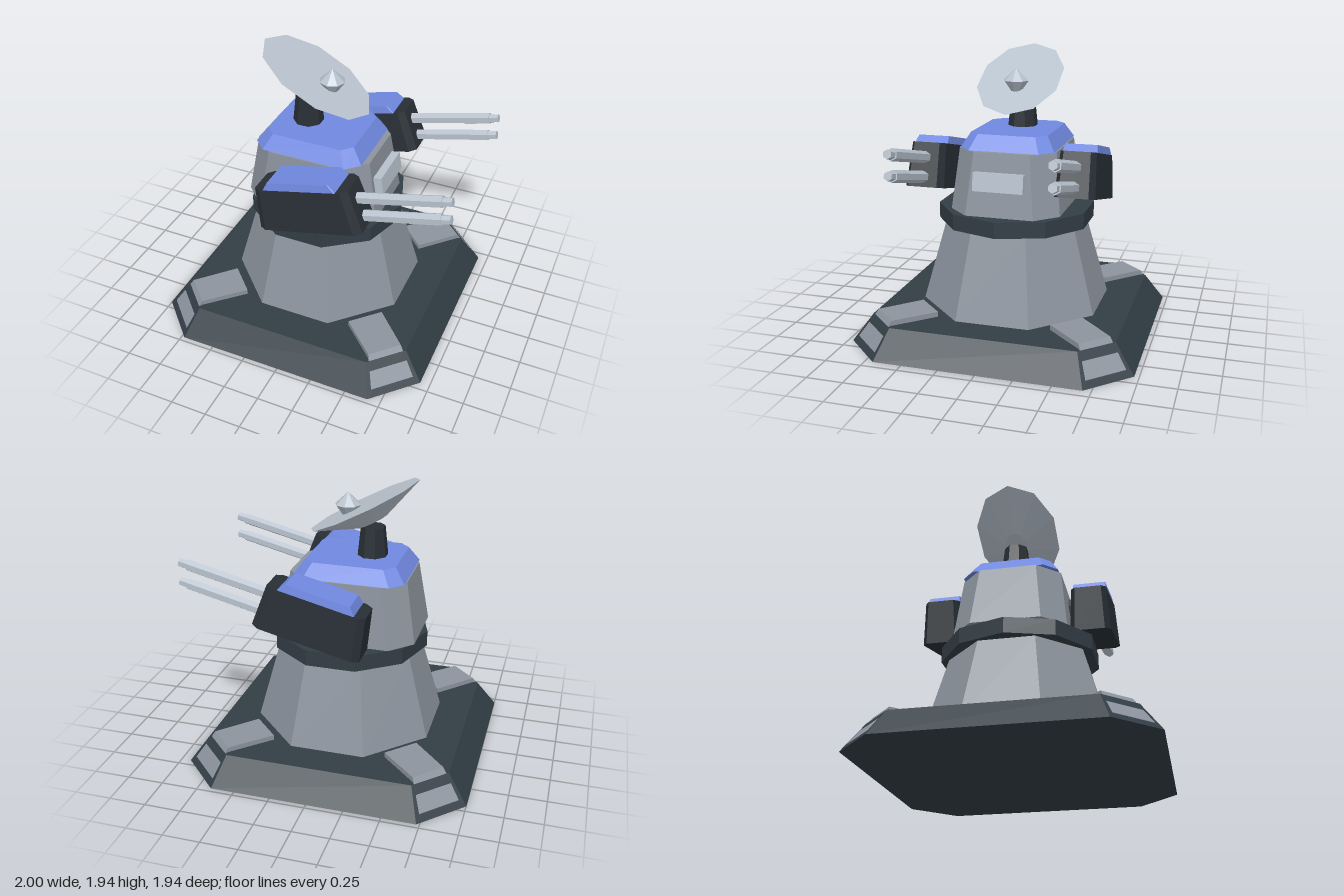
import * as THREE from 'three';

const mat = (name, color) => Object.assign(new THREE.MeshStandardMaterial({ color }), { name });

// Solid skinned over matching loops, with flat faces and closed ends
function loft(loops) {
  const pos = [];
  const tri = (a, b, c) => pos.push(...a, ...b, ...c);
  const n = loops[0].length;
  for (let k = 0; k < loops.length - 1; k++) {
    const a = loops[k], b = loops[k + 1];
    for (let i = 0; i < n; i++) {
      const j = (i + 1) % n;
      tri(a[i], a[j], b[j]);
      tri(a[i], b[j], b[i]);
    }
  }
  const first = loops[0], last = loops[loops.length - 1];
  for (let i = 1; i < n - 1; i++) {
    tri(first[0], first[i + 1], first[i]);
    tri(last[0], last[i], last[i + 1]);
  }
  const g = new THREE.BufferGeometry();
  g.setAttribute('position', new THREE.Float32BufferAttribute(pos, 3));
  g.computeVertexNormals();
  return g;
}

// Rectangle with cut corners at height y
function cutRect(y, hx, hz, cx, cz = cx) {
  return [
    [hx, hz - cz], [hx, cz - hz], [hx - cx, -hz], [cx - hx, -hz],
    [-hx, cz - hz], [-hx, hz - cz], [cx - hx, hz], [hx - cx, hz],
  ].map(([x, z]) => [x, y, z]);
}

// Faceted cylinder with flat normals
function facet(rTop, rBottom, height, sides, turn = 0) {
  const g = new THREE.CylinderGeometry(rTop, rBottom, height, sides).toNonIndexed();
  g.rotateY(turn);
  g.computeVertexNormals();
  return g;
}

export function createModel() {
  const model = new THREE.Group();
  model.name = 'gunTurret';
  const baseDark = mat('dark slate', 0x323d45);
  const gunDark = mat('gunmetal', 0x282f35);
  const grey = mat('armour grey', 0x8c939d);
  const light = mat('light steel', 0xb8c2cd);
  const blue = mat('armour blue', 0x7088e0);

  const add = (name, geometry, material, x = 0, y = 0, z = 0, parent = model) => {
    const m = new THREE.Mesh(geometry, material);
    m.name = name;
    m.position.set(x, y, z);
    parent.add(m);
    return m;
  };
  const cx = -0.034;

  // Foundation slab and corner pads
  add('foundation', loft([cutRect(0, 0.968, 0.968, 0.273), cutRect(0.19, 0.835, 0.835, 0.205)]), baseDark, cx);
  const padSection = (r, top, w) => [[r, 0.005, w], [r, 0.005, -w], [r, top, -w], [r, top, w]];
  const padGeo = loft([padSection(0.677, 0.225, 0.125), padSection(1.008, 0.225, 0.118), padSection(1.145, 0.045, 0.152)]);
  for (let i = 0; i < 4; i++) {
    add('cornerPad', padGeo, grey, cx).rotation.y = Math.PI / 4 + i * Math.PI / 2;
  }

  // Pedestal and turning ring
  add('pedestal', facet(0.493, 0.66, 0.58, 8, Math.PI / 8), grey, cx, 0.48);
  add('turningRing', facet(0.542, 0.542, 0.11, 10, Math.PI / 2), baseDark, cx, 0.825);

  // Turret body, roof and front plate
  add('turretBody', loft([cutRect(0.88, 0.47, 0.38, 0.147), cutRect(1.3, 0.402, 0.337, 0.145)]), grey, -0.064);
  add('turretRoof', loft([cutRect(1.3, 0.378, 0.326, 0.085), cutRect(1.4, 0.308, 0.267, 0.068)]), blue, -0.08);
  add('frontPlate', new THREE.BoxGeometry(0.07, 0.125, 0.345), light, 0.39, 1.117).rotation.z = 0.15;

  // Twin gun pods, tilted upward
  const housing = loft([cutRect(0.929, 0.37, 0.135, 0.05, 0.035), cutRect(1.228, 0.333, 0.118, 0.045, 0.03)]);
  const cap = loft([cutRect(1.226, 0.26, 0.117, 0.005), cutRect(1.279, 0.218, 0.108, 0.005)]);
  for (const side of [1, -1]) {
    const gun = new THREE.Group();
    gun.name = side > 0 ? 'leftGun' : 'rightGun';
    gun.position.z = side * 0.51;
    gun.rotation.z = 0.242;
    model.add(gun);
    add('gunHousing', housing, gunDark, 0.335, 0, 0, gun);
    add('gunCap', cap, blue, 0.331, 0, 0, gun);
    add('gunTrunnion', facet(0.115, 0.115, 0.22, 8, Math.PI / 8).rotateX(Math.PI / 2), gunDark, 0.27, 1.1, -side * 0.18, gun);
    for (const [v, end] of [[1.127, 1.3], [0.996, 1.27]]) {
      // Hexagonal barrel with a narrower muzzle
      const start = 0.6, neck = end - 0.06;
      const barrel = facet(0.04, 0.04, neck - start, 6, Math.PI / 2).rotateZ(-Math.PI / 2);
      add('barrel', barrel, light, (start + neck) / 2, v, 0, gun);
      const muzzle = facet(0.03, 0.032, 0.07, 6, Math.PI / 2).rotateZ(-Math.PI / 2);
      add('muzzle', muzzle, light, end - 0.035, v, 0, gun);
    }
  }

  // Mast with a tilted oval dish
  add('mast', facet(0.083, 0.104, 0.2, 8, Math.PI / 8), gunDark, -0.184, 1.5);
  const dish = new THREE.CylinderGeometry(0.42, 0.11, 0.125, 10).toNonIndexed();
  dish.rotateY(Math.PI / 2).scale(1, 1, 0.7).translate(0, -0.0625, 0);
  dish.computeVertexNormals();
  add('dish', dish, light, -0.12, 1.74).rotation.z = -0.49;

  // Pointed receiver on the dish
  add('receiverTip', facet(0, 0.088, 0.085, 8), light, -0.01, 1.778);
  add('receiverBase', facet(0.088, 0.035, 0.075, 8), light, -0.01, 1.698);

  return model;
}
